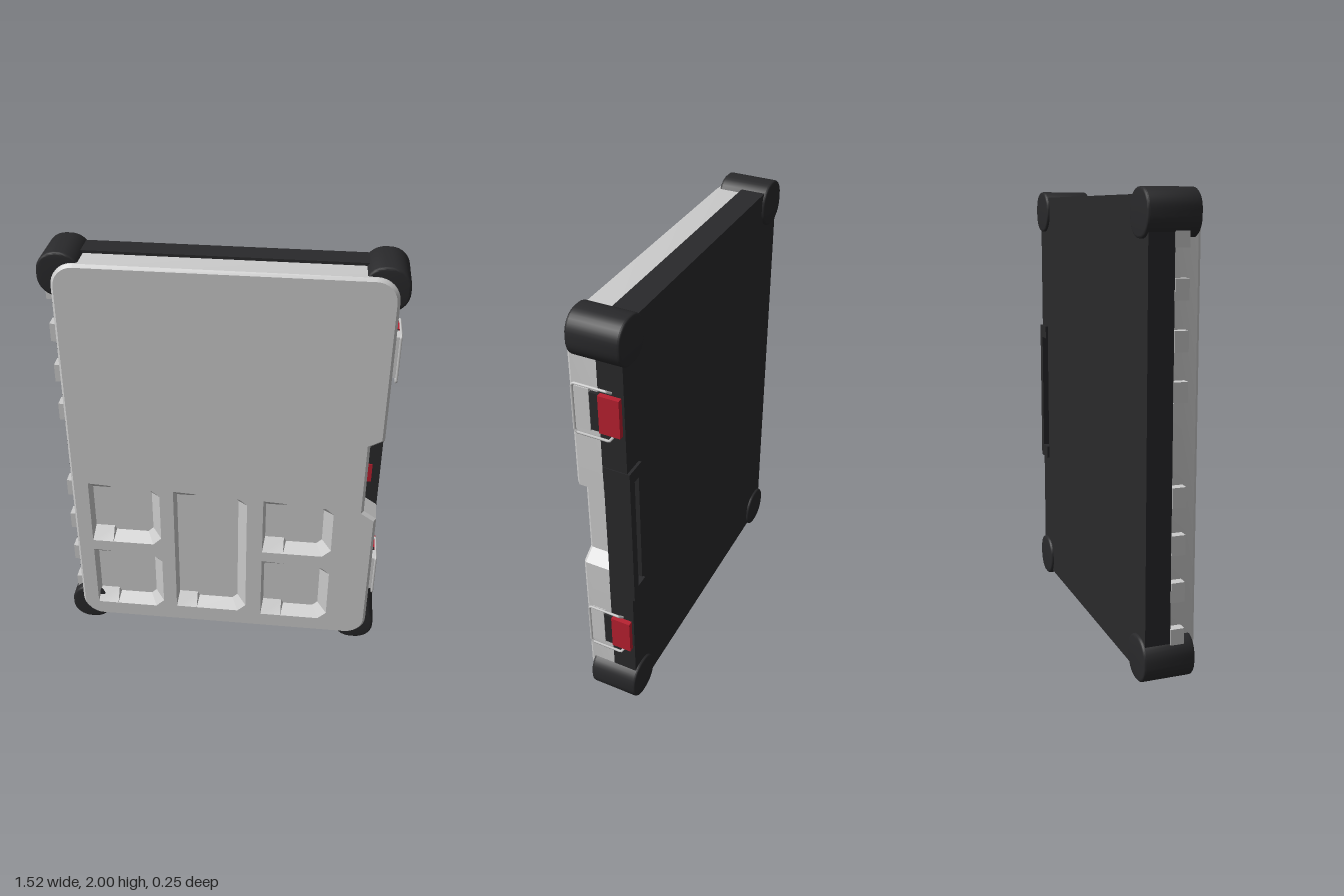
import * as THREE from 'three';
import { toCreasedNormals, mergeGeometries } from 'three/addons/utils/BufferGeometryUtils.js';

const grey = new THREE.MeshStandardMaterial({ color: 0xcccccc });
const dark = new THREE.MeshStandardMaterial({ color: 0x29292b });
const red = new THREE.MeshStandardMaterial({ color: 0xb82030 });

const V = (x, y) => new THREE.Vector2(x, y);

// Skin between rings of 2D points, each ring at its own z
function loft(rings) {
  const pos = [];
  for (let k = 0; k < rings.length - 1; k++) {
    const [A, za] = rings[k], [B, zb] = rings[k + 1], n = A.length;
    for (let i = 0; i < n; i++) {
      const j = (i + 1) % n;
      const a = [A[i].x, A[i].y, za], b = [A[j].x, A[j].y, za];
      const c = [B[j].x, B[j].y, zb], d = [B[i].x, B[i].y, zb];
      pos.push(...a, ...b, ...c, ...a, ...c, ...d);
    }
  }
  const g = new THREE.BufferGeometry();
  g.setAttribute('position', new THREE.Float32BufferAttribute(pos, 3));
  g.computeVertexNormals();
  return toCreasedNormals(g, 0.5);
}

function arc(cx, cy, r, start, n = 8) {
  return Array.from({ length: n + 1 }, (_, i) => {
    const a = start + (i / n) * Math.PI / 2;
    return V(cx + r * Math.cos(a), cy + r * Math.sin(a));
  });
}

function roundedRect(x0, x1, y0, y1, r, n) {
  return [
    ...arc(x1 - r, y0 + r, r, -Math.PI / 2, n), ...arc(x1 - r, y1 - r, r, 0, n),
    ...arc(x0 + r, y1 - r, r, Math.PI / 2, n), ...arc(x0 + r, y0 + r, r, Math.PI, n),
  ];
}

// Tray outline with the grip notch in its +x edge, inset by d
function trayOutline(d) {
  const pts = roundedRect(-0.7 + d, 0.72 - d, 0.045 + d, 1.96 - d, 0.1 - d, 8);
  pts.splice(9, 0, V(0.72 - d, 0.77 - d * 0.6), V(0.66 - d, 0.81 - d * 0.6),
    V(0.66 - d, 1.165 + d * 0.6), V(0.72 - d, 1.2 + d * 0.6));
  return pts;
}

// Pocket opening and floor, with matching point order
const pocketTop = (l, r, b, t) => [
  V(l, b), V(l + 0.1, b), V(l + 0.11, b), V(r - 0.04, b), V(r, b + 0.04),
  V(r, t - 0.05), V(r - 0.035, t - 0.02), V(l + 0.11, t - 0.006), V(l + 0.09, t - 0.005), V(l, t),
];
const pocketFloor = (l, r, b, t) => [
  V(l + 0.01, b + 0.06), V(l + 0.1, b + 0.06), V(l + 0.11, b + 0.04), V(r - 0.07, b + 0.04), V(r - 0.045, b + 0.065),
  V(r - 0.045, t - 0.065), V(r - 0.07, t - 0.04), V(l + 0.11, t - 0.03), V(l + 0.09, t - 0.05), V(l + 0.01, t - 0.05),
];

function cap(points, z, holes = [], flip = false) {
  const s = new THREE.Shape(points);
  s.holes = holes.map((h) => new THREE.Path(h));
  const g = new THREE.ShapeGeometry(s).toNonIndexed().translate(0, 0, z);
  if (flip) g.rotateY(Math.PI).scale(-1, 1, 1).translate(0, 0, 2 * z);
  g.deleteAttribute('uv');
  return g;
}

export function createModel() {
  const model = new THREE.Group();
  const add = (name, geo, mat, parent = model) => {
    const m = new THREE.Mesh(geo, mat);
    m.name = name;
    parent.add(m);
    return m;
  };
  const box = (name, x0, x1, y0, y1, z0, z1, mat, parent) =>
    add(name, new THREE.BoxGeometry(x1 - x0, y1 - y0, z1 - z0)
      .translate((x0 + x1) / 2, (y0 + y1) / 2, (z0 + z1) / 2), mat, parent);

  // Front tray with five sunken pockets
  const pockets = [
    [-0.62, -0.285, 0.53, 0.87], [-0.62, -0.285, 0.13, 0.475],
    [-0.22, 0.125, 0.14, 0.855], [0.2, 0.525, 0.53, 0.835], [0.2, 0.525, 0.13, 0.475],
  ];
  const outer = trayOutline(0), inner = trayOutline(0.012);
  const front = 0.126, floor = 0.075;
  add('trayFace', cap(inner, front, pockets.map((p) => pocketTop(...p))), grey);
  add('trayRim', loft([[outer, 0], [outer, 0.112], [inner, front]]), grey);
  const back = add('trayBack', cap(outer, 0.001), grey);
  back.material = new THREE.MeshStandardMaterial({ color: 0xcccccc, side: THREE.DoubleSide });
  for (const p of pockets) {
    const f = pocketFloor(...p);
    const walls = loft([[pocketTop(...p), front], [f, floor]]);
    add('pocket', mergeGeometries([walls, cap(f, floor)]), grey);
  }

  // Dark back shell, recessed behind the grip
  const shell = new THREE.Shape([V(-0.735, 0.03), V(0.72, 0.03), V(0.72, 0.7), V(0.63, 0.7),
    V(0.63, 1.27), V(0.72, 1.27), V(0.72, 1.972), V(-0.735, 1.972)]);
  add('backShell', new THREE.ExtrudeGeometry(shell, { depth: 0.11, bevelEnabled: false }).translate(0, 0, -0.11), dark);

  // Grip: bracket, closing plate and red release button
  const grip = new THREE.Group();
  grip.name = 'grip';
  model.add(grip);
  box('gripBar', 0.685, 0.723, 0.64, 1.33, -0.122, -0.004, dark, grip);
  box('gripLowerEnd', 0.625, 0.7, 0.64, 0.7, -0.122, -0.004, dark, grip);
  box('gripUpperEnd', 0.625, 0.7, 1.27, 1.33, -0.122, -0.004, dark, grip);
  box('gripPlate', 0.65, 0.72, 0.7, 1.27, -0.02, -0.002, dark, grip);
  box('releaseButton', 0.66, 0.686, 0.9, 0.995, -0.06, 0.004, red, grip);

  // Corner bumpers
  for (const x of [-0.665, 0.665]) {
    for (const y of [0.097, 1.903]) {
      const s = new THREE.Shape(roundedRect(x - 0.085, x + 0.085, y - 0.087, y + 0.087, 0.075, 8));
      const g = new THREE.ExtrudeGeometry(s, {
        depth: 0.206, bevelSize: 0.01, bevelThickness: 0.01, bevelSegments: 3,
      }).translate(0, 0, -0.113);
      add('cornerBumper', toCreasedNormals(g, 0.6), dark);
    }
  }

  // Hinge knuckles along the -x edge
  for (const y of [0.19, 0.39, 0.59, 0.79, 1.215, 1.415, 1.615, 1.815]) {
    box('hingeKnuckle', -0.74, -0.695, y - 0.042, y + 0.042, 0, 0.06, grey);
  }

  // Latches on the +x edge: red lever, pivot, catch and wire bail
  for (const y of [0.415, 1.595]) {
    const latch = new THREE.Group();
    latch.name = 'latch';
    latch.position.y = y;
    model.add(latch);
    box('lever', 0.71, 0.743, -0.085, 0.085, -0.1, -0.01, red, latch);
    box('pivot', 0.71, 0.735, -0.085, 0.085, -0.01, 0.035, dark, latch);
    box('catch', 0.71, 0.738, -0.09, 0.1, 0.03, 0.092, grey, latch);
    const P = (yy, z, x = 0.74) => new THREE.Vector3(x, yy, z);
    const path = new THREE.CurvePath();
    const pts = [P(-0.1, -0.06, 0.725), P(-0.112, -0.05), P(-0.112, 0.09), P(-0.102, 0.1),
      P(0.102, 0.1), P(0.112, 0.09), P(0.112, -0.05), P(0.1, -0.06, 0.725)];
    for (let i = 0; i < pts.length - 1; i++) path.add(new THREE.LineCurve3(pts[i], pts[i + 1]));
    add('wireBail', new THREE.TubeGeometry(path, 80, 0.006, 6), grey, latch);
  }
  return model;
}
